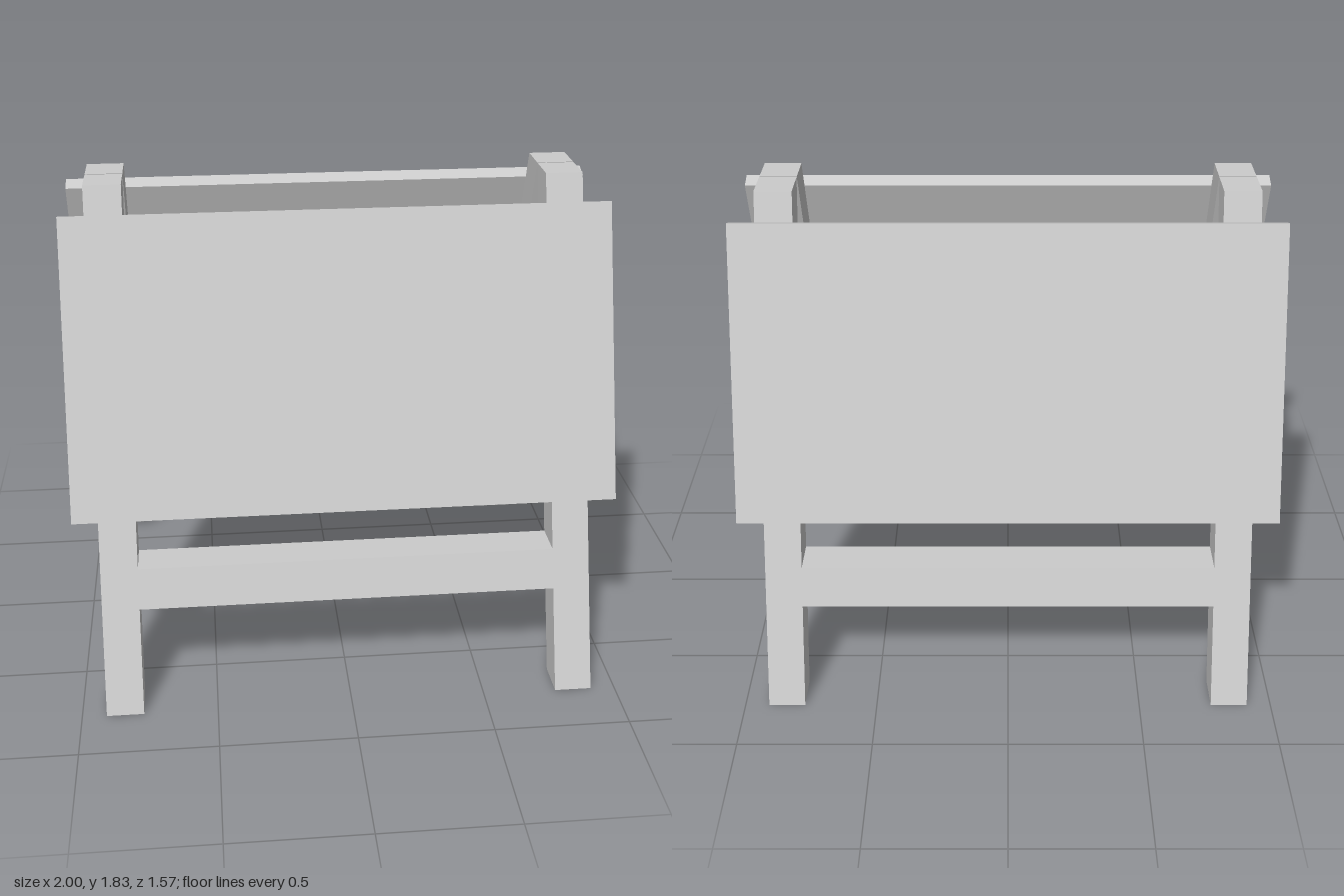
import * as THREE from 'three';

const material = new THREE.MeshStandardMaterial({ color: 0xcccccc, flatShading: true });

// Sloped line of the frame's outer face, and its horizontal depth
const outerZ = (y) => 0.787 - 0.3535 * y;
const DEPTH = 0.137;

// Extrude a [z, y] cross-section along x from x0 to x1
function beam(name, points, x0, x1) {
  const shape = new THREE.Shape(points.map(([z, y]) => new THREE.Vector2(-z, y)));
  const geometry = new THREE.ExtrudeGeometry(shape, { depth: x1 - x0, bevelEnabled: false });
  geometry.rotateY(Math.PI / 2).translate(x0, 0, 0);
  const mesh = new THREE.Mesh(geometry, material);
  mesh.name = name;
  return mesh;
}

// Slanted section with level ends between two heights
const slanted = (y0, y1) => [
  [outerZ(y0), y0],
  [outerZ(y0) - DEPTH, y0],
  [outerZ(y1) - DEPTH, y1],
  [outerZ(y1), y1],
];

// One leaning half: two legs, a cross bar and a board
function createHalf(name) {
  const half = new THREE.Group();
  half.name = name;
  half.add(beam('leftLeg', slanted(0, 1.83), 0.773, 0.91));
  half.add(beam('rightLeg', slanted(0, 1.83), -0.91, -0.773));
  half.add(beam('crossBar', slanted(0.37, 0.512), -0.773, 0.773));

  // Board lies on the outer face, its ends cut square to the slope
  const low = 0.69, high = 1.726, dz = 0.059, dy = 0.021;
  half.add(beam('board', [
    [outerZ(low), low],
    [outerZ(high), high],
    [outerZ(high) + dz, high + dy],
    [outerZ(low) + dz, low + dy],
  ], -1, 1));
  return half;
}

export function createModel() {
  const model = new THREE.Group();
  model.name = 'foldingBoardStand';
  const front = createHalf('frontHalf');
  const back = createHalf('backHalf');
  back.rotation.y = Math.PI;
  model.add(front, back);
  return model;
}
